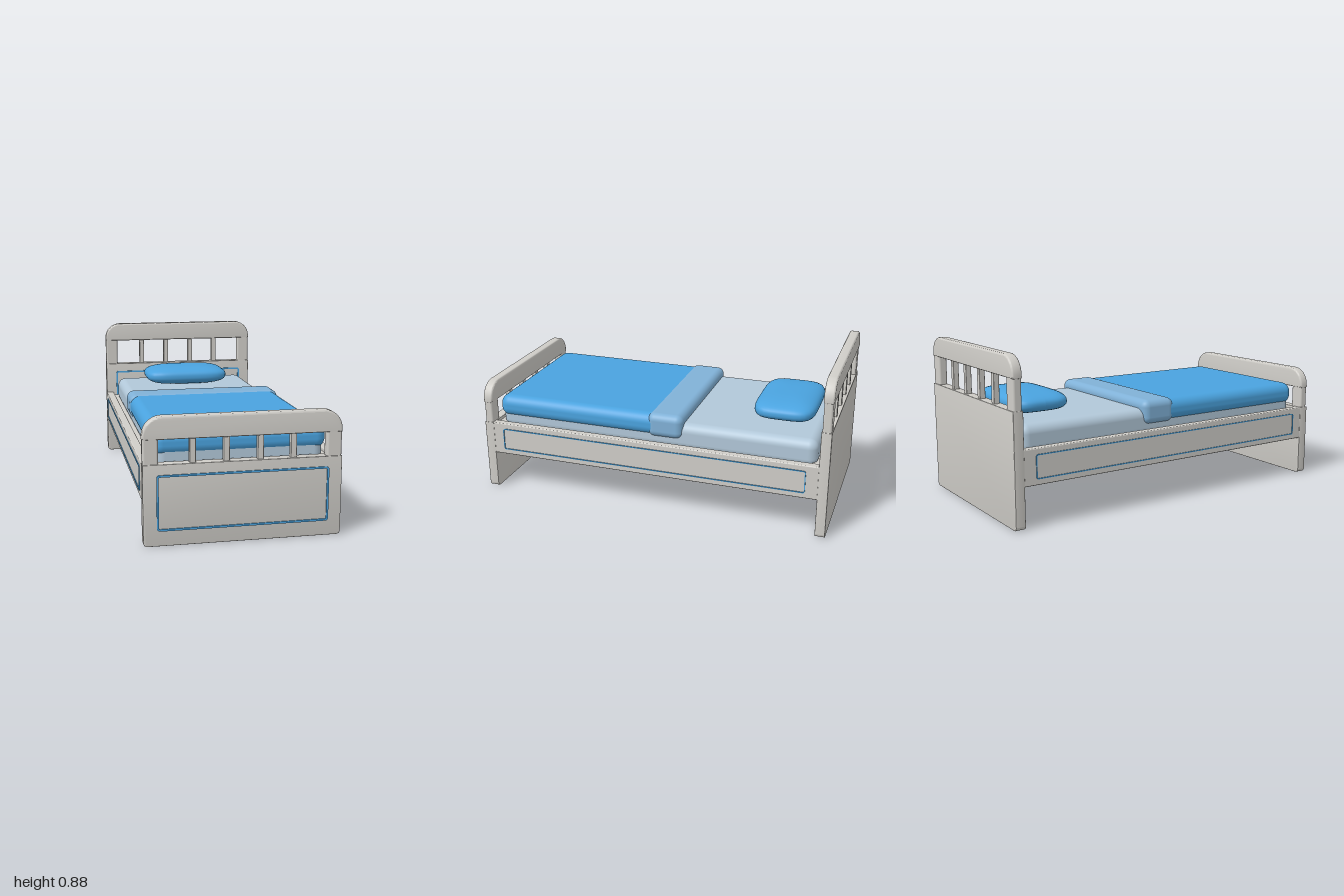
import * as THREE from 'three';
import { toCreasedNormals } from 'three/addons/utils/BufferGeometryUtils.js';
import { RoundedBoxGeometry } from 'three/addons/geometries/RoundedBoxGeometry.js';

const material = (name, color) => {
  const m = new THREE.MeshStandardMaterial({ color });
  m.name = name;
  return m;
};

// Rectangle from (-w, y0) to (w, y1) with rounded lower and upper corners
function roundedRect(Type, w, y0, y1, rb, rt) {
  const s = new Type();
  s.moveTo(-w + rb, y0);
  s.lineTo(w - rb, y0);
  if (rb) s.absarc(w - rb, y0 + rb, rb, -Math.PI / 2, 0);
  s.lineTo(w, y1 - rt);
  if (rt) s.absarc(w - rt, y1 - rt, rt, 0, Math.PI / 2);
  s.lineTo(-w + rt, y1);
  if (rt) s.absarc(-w + rt, y1 - rt, rt, Math.PI / 2, Math.PI);
  s.lineTo(-w, y0 + rb);
  if (rb) s.absarc(-w + rb, y0 + rb, rb, Math.PI, Math.PI * 1.5);
  return s;
}

// Bevelled board, centred on z = 0
function board(shape, depth, bevel) {
  const g = new THREE.ExtrudeGeometry(shape, {
    depth: depth - 2 * bevel, bevelThickness: bevel, bevelSize: bevel,
    bevelOffset: -bevel, bevelSegments: 3, curveSegments: 8,
  });
  g.translate(0, 0, bevel - depth / 2);
  return toCreasedNormals(g, 0.65);
}

// Thin rectangular outline, lying on z = 0
function outline(w, y0, y1, r, line, depth) {
  const s = roundedRect(THREE.Shape, w, y0, y1, r, r);
  const ri = Math.max(r - line, 0.003);
  s.holes.push(roundedRect(THREE.Path, w - line, y0 + line, y1 - line, ri, ri));
  return new THREE.ExtrudeGeometry(s, { depth, bevelEnabled: false, curveSegments: 5 });
}

export function createModel() {
  const frame = material('frame grey', 0xd0cec9);
  const blue = material('blanket blue', 0x4aa3df);
  const foldBlue = material('fold blue', 0x80b1d7);
  const sheet = material('sheet pale blue', 0xb2c8d9);
  const model = new THREE.Group();
  model.name = 'bed';

  function add(parent, name, geometry, mat, x = 0, y = 0, z = 0) {
    const mesh = new THREE.Mesh(geometry, mat);
    mesh.name = name;
    mesh.position.set(x, y, z);
    parent.add(mesh);
    return mesh;
  }

  // Soft block given by its limits
  function softBox(name, mat, w, y0, y1, z0, z1, r) {
    add(model, name, new RoundedBoxGeometry(2 * w, y1 - y0, z1 - z0, 5, r), mat,
      0, (y0 + y1) / 2, (z0 + z1) / 2);
  }

  // Panel, posts, spindles, top rail and inlaid trim of one bed end
  function bedEnd(name, z, panelTop, railBottom, top) {
    const end = new THREE.Group();
    end.name = name;
    end.position.z = z;
    model.add(end);
    const depth = 0.055;
    const gap = railBottom - panelTop;
    const mid = panelTop + gap / 2;
    add(end, 'panel', board(roundedRect(THREE.Shape, 0.5, 0, panelTop, 0.02, 0.002), depth, 0.002), frame);
    add(end, 'topRail', board(roundedRect(THREE.Shape, 0.5, railBottom, top, 0.004, 0.1), depth, 0.01), frame);
    for (const side of [-1, 1]) {
      add(end, 'post', new RoundedBoxGeometry(0.078, gap + 0.04, 0.048, 3, 0.012), frame, side * 0.46, mid);
      for (const x of [0.085, 0.253]) {
        add(end, 'spindle', new RoundedBoxGeometry(0.031, gap + 0.02, 0.032, 2, 0.004), frame, side * x, mid);
      }
    }
    add(end, 'panelTrim', outline(0.433, 0.077, panelTop - 0.052, 0.015, 0.01, 0.006), blue, 0, 0, depth / 2);
  }
  bedEnd('headboard', -0.9725, 0.607, 0.765, 0.88);
  bedEnd('footboard', 0.9665, 0.41, 0.53, 0.645);

  // Side rails with outline trim
  for (const side of [-1, 1]) {
    add(model, 'sideRail', new RoundedBoxGeometry(0.045, 0.19, 1.9, 3, 0.006), frame, side * 0.4765, 0.315, -0.003);
    const trim = add(model, 'sideRailTrim', outline(0.88, 0.251, 0.379, 0.012, 0.005, 0.006), blue, side * 0.498);
    trim.rotation.y = side * Math.PI / 2;
  }
  add(model, 'bedBase', new THREE.BoxGeometry(0.92, 0.115, 1.9), frame, 0, 0.335, -0.003);

  // Bedding
  softBox('mattress', sheet, 0.428, 0.36, 0.515, -0.922, 0.92, 0.05);
  softBox('blanket', blue, 0.443, 0.428, 0.556, -0.15, 0.93, 0.055);
  softBox('blanketFold', foldBlue, 0.446, 0.426, 0.562, -0.185, 0.02, 0.04);

  // Pillow: sphere squared off in plan and softly bulged in height
  const pillow = new THREE.SphereGeometry(1, 48, 32);
  const p = pillow.attributes.position;
  const v = new THREE.Vector3();
  for (let i = 0; i < p.count; i++) {
    v.fromBufferAttribute(p, i);
    const plan = Math.pow(Math.abs(v.x) ** 4.5 + Math.abs(v.z) ** 4.5, 1 / 4.5);
    const k = 1 / Math.pow(plan ** 2.6 + Math.abs(v.y) ** 2.6, 1 / 2.6);
    p.setXYZ(i, v.x * k * 0.263, v.y * k * 0.06, v.z * k * 0.173);
  }
  pillow.computeVertexNormals();
  add(model, 'pillow', pillow, blue, 0, 0.57, -0.69);

  return model;
}
